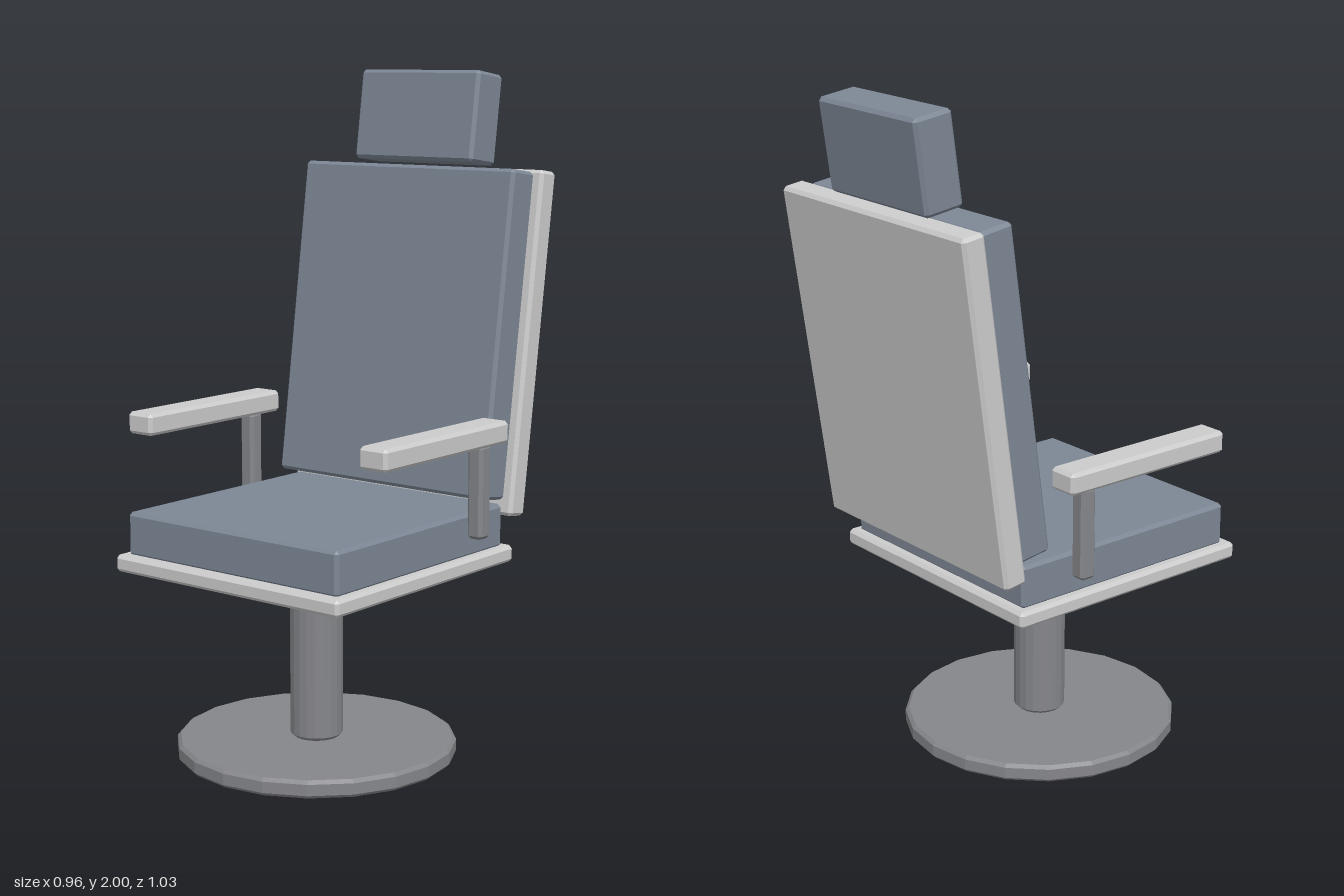
import * as THREE from 'three';
import { ConvexGeometry } from 'three/addons/geometries/ConvexGeometry.js';

const material = (color) => new THREE.MeshStandardMaterial({ color, flatShading: true });

// Box with one flat chamfer on every edge: three inset points per corner
function chamferBox(w, h, d, c = 0.01) {
  const points = [];
  for (const x of [-1, 1]) for (const y of [-1, 1]) for (const z of [-1, 1]) {
    for (let axis = 0; axis < 3; axis++) {
      points.push(new THREE.Vector3(
        x * (w / 2 - (axis === 0 ? 0 : c)),
        y * (h / 2 - (axis === 1 ? 0 : c)),
        z * (d / 2 - (axis === 2 ? 0 : c))));
    }
  }
  return new ConvexGeometry(points);
}

// Upright round solid with chamfered rims
function chamferDisc(r, y0, y1, c = 0.01) {
  const profile = [[0, y0], [r - c, y0], [r, y0 + c], [r, y1 - c], [r - c, y1], [0, y1]];
  return new THREE.LatheGeometry(profile.map(([x, y]) => new THREE.Vector2(x, y)), 20);
}

export function createModel() {
  const chair = new THREE.Group();
  chair.name = 'chair';
  const frame = material(0xcccccc);
  const padding = material(0x7c8694);
  const metal = material(0x85868a);

  function add(name, geometry, mat, x, y, z, tilt = 0) {
    const mesh = new THREE.Mesh(geometry, mat);
    mesh.name = name;
    mesh.position.set(x, y, z);
    mesh.rotation.x = tilt;
    chair.add(mesh);
  }

  // Pedestal
  add('baseDisc', chamferDisc(0.415, 0, 0.053), metal, 0, 0, 0.1);
  add('column', chamferDisc(0.078, 0.053, 0.575), metal, 0, 0, 0.1);

  // Seat
  add('seatPlate', chamferBox(0.83, 0.05, 0.83), frame, 0, 0.59, 0.1);
  add('seatCushion', chamferBox(0.78, 0.13, 0.775), padding, 0, 0.675, 0.0975);

  // Reclined back and headrest
  const recline = -THREE.MathUtils.degToRad(8);
  add('backCushion', chamferBox(0.78, 0.965, 0.111), padding, 0, 1.235, -0.3125, recline);
  add('backPlate', chamferBox(0.83, 1.02, 0.075), frame, 0, 1.203, -0.403, recline);
  add('headrest', chamferBox(0.44, 0.27, 0.127), padding, 0, 1.858, -0.432, recline);

  // Armrests on single posts
  for (const [label, s] of [['left', 1], ['right', -1]]) {
    add(`${label}ArmPost`, chamferBox(0.052, 0.275, 0.052), metal, s * 0.433, 0.813, -0.107);
    add(`${label}Armrest`, chamferBox(0.095, 0.065, 0.58), frame, s * 0.432, 0.98, 0.1);
  }
  return chair;
}
